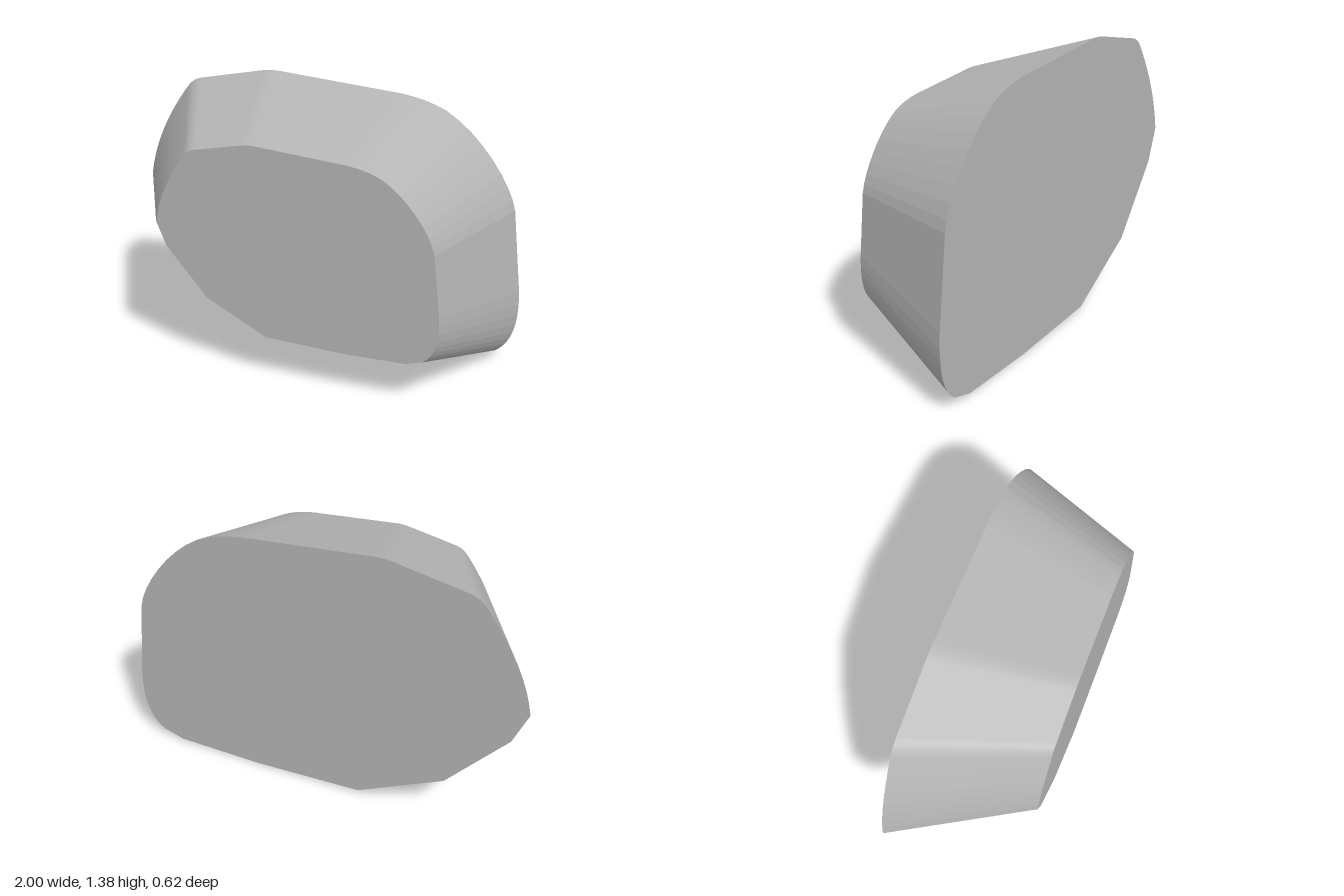
import * as THREE from 'three';

export function createModel() {
  const group = new THREE.Group();
  group.name = 'climbingStone';
  const stoneGrey = new THREE.MeshStandardMaterial({ color: 0xb4b4b4 });
  stoneGrey.name = 'stone grey';
  stoneGrey.flatShading = true;

  // Wide outline of the back, counter-clockwise, with straight facets and rounded corners
  const outline = new THREE.Shape();
  outline.moveTo(-1, 0.765);
  outline.lineTo(-0.93, 0.595);
  outline.lineTo(-0.635, 0.25);
  outline.lineTo(-0.2, 0.025);
  outline.lineTo(0.35, 0.005);
  outline.lineTo(0.79, 0.015);
  outline.lineTo(0.9, 0.05);
  outline.bezierCurveTo(0.97, 0.1, 1.01, 0.2, 0.995, 0.39);
  outline.lineTo(0.945, 0.81);
  outline.bezierCurveTo(0.92, 0.94, 0.76, 1.17, 0.59, 1.265);
  outline.quadraticCurveTo(0.49, 1.315, 0.35, 1.33);
  outline.lineTo(-0.23, 1.38);
  outline.quadraticCurveTo(-0.3, 1.388, -0.35, 1.378);
  outline.lineTo(-0.69, 1.31);
  outline.quadraticCurveTo(-0.735, 1.3, -0.765, 1.262);
  outline.quadraticCurveTo(-0.96, 1.01, -1, 0.765);

  // Slab whose front end shrinks to form the sloping sides
  const halfDepth = 0.308;
  const geometry = new THREE.ExtrudeGeometry(outline, {
    depth: halfDepth * 2, bevelEnabled: false, curveSegments: 8,
  });
  geometry.translate(0, 0, -halfDepth);
  const position = geometry.attributes.position;
  for (let i = 0; i < position.count; i++) {
    if (position.getZ(i) > 0) {
      position.setXY(i, position.getX(i) * 0.7 + 0.05, position.getY(i) * 0.7 + 0.225);
    }
  }
  geometry.computeVertexNormals();

  const stone = new THREE.Mesh(geometry, stoneGrey);
  stone.name = 'stone';
  group.add(stone);
  return group;
}
